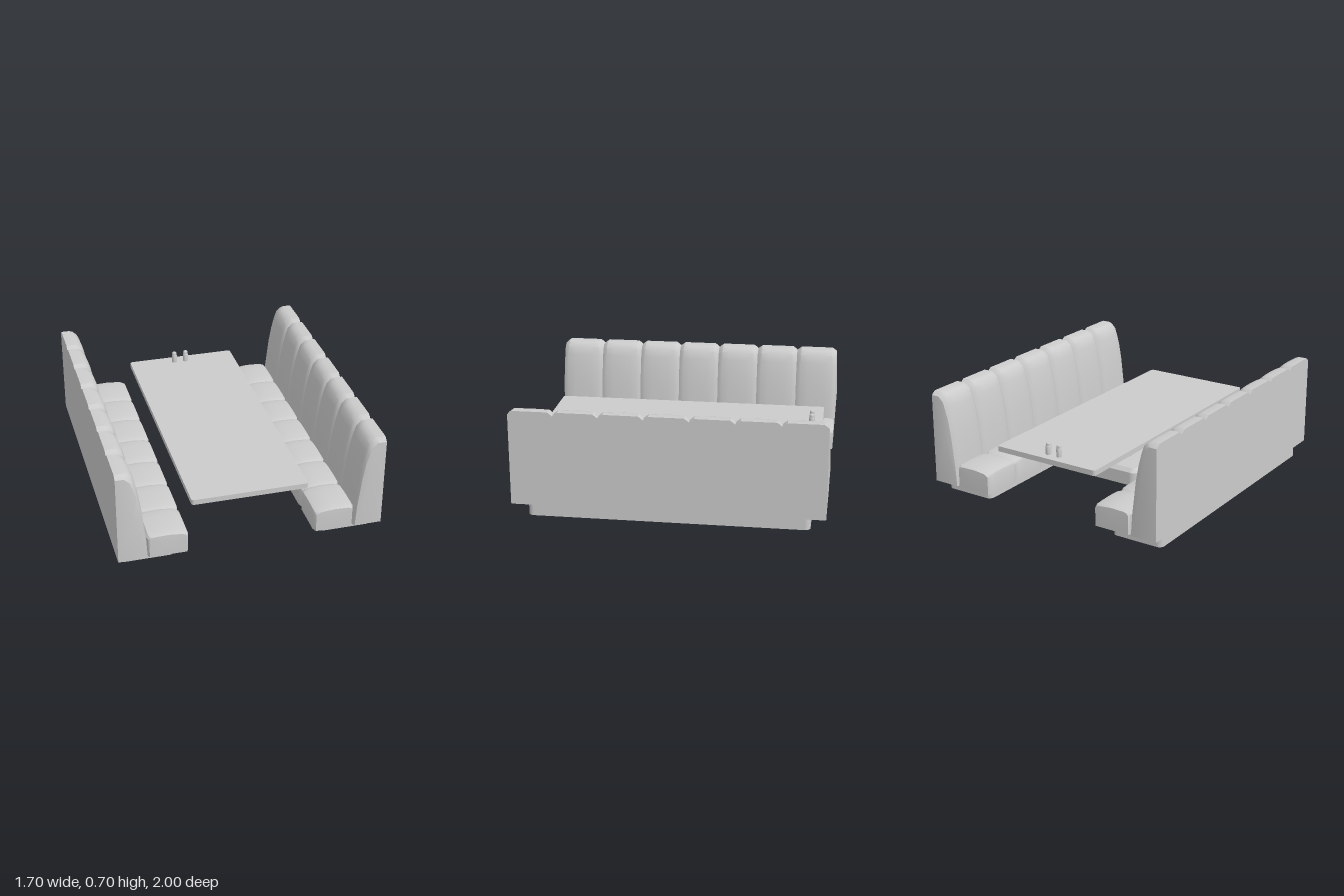
import * as THREE from 'three';
import { toCreasedNormals } from 'three/addons/utils/BufferGeometryUtils.js';

const SEGMENTS = 7;
const grey = new THREE.MeshStandardMaterial({ color: 0xcccccc });
const greyThin = new THREE.MeshStandardMaterial({ color: 0xcccccc, side: THREE.DoubleSide });

function add(parent, name, geometry, material = grey) {
  const mesh = new THREE.Mesh(geometry, material);
  mesh.name = name;
  parent.add(mesh);
  return mesh;
}

// Rounded rectangle centred on (0, 0)
function roundedRect(w, d, r, Type = THREE.Shape) {
  const s = new Type(), x = w / 2, y = d / 2;
  s.moveTo(-x + r, -y);
  s.lineTo(x - r, -y).absarc(x - r, -y + r, r, -Math.PI / 2, 0);
  s.lineTo(x, y - r).absarc(x - r, y - r, r, 0, Math.PI / 2);
  s.lineTo(-x + r, y).absarc(-x + r, y - r, r, Math.PI / 2, Math.PI);
  s.lineTo(-x, -y + r).absarc(-x + r, -y + r, r, Math.PI, Math.PI * 1.5);
  return s;
}

// Extrude a floor-plan shape upward
function slab(shape, y, height, options = {}) {
  const g = new THREE.ExtrudeGeometry(shape, { depth: height, bevelEnabled: false, curveSegments: 5, ...options });
  return g.rotateX(-Math.PI / 2).translate(0, y, 0);
}

// Sweep a profile along z through padded segments; shapePoint pinches it at the seams
function upholstery(profile, z0, z1, bulge, closed, shapePoint) {
  // [position in the segment, sharp seam notch, soft rounding]
  const stations = [[0, 1, 1], [0.05, 0.5, 0.6], [0.11, 0, 0.35], [0.28, 0, 0.1], [0.5, 0, 0],
    [0.72, 0, 0.1], [0.89, 0, 0.35], [0.95, 0.5, 0.6]];
  const rings = [];
  for (let k = 0; k < SEGMENTS; k++) {
    for (const [t, notch, soft] of stations) rings.push([k + t, notch, soft]);
  }
  rings.push([SEGMENTS, 1, 1]);

  const n = profile.length, pos = [], index = [];
  for (const [t, notch, soft] of rings) {
    const z = z0 + (z1 - z0) * t / SEGMENTS;
    for (const [x, y] of profile) pos.push(...shapePoint(x, y, notch, soft), z);
  }
  const sides = closed ? n : n - 1;
  for (let i = 0; i < rings.length - 1; i++) {
    for (let j = 0; j < sides; j++) {
      const a = i * n + j, b = i * n + (j + 1) % n;
      index.push(a, a + n, b, b, a + n, b + n);
    }
  }
  // Slightly bulging end panels
  const cx = profile.reduce((s, p) => s + p[0], 0) / n;
  const ys = profile.map(p => p[1]);
  const cy = (Math.min(...ys) + Math.max(...ys)) / 2;
  const last = (rings.length - 1) * n, c = pos.length / 3;
  pos.push(cx, cy, z0 - bulge, cx, cy, z1 + bulge);
  for (let j = 0; j < n; j++) {
    const k = (j + 1) % n;
    index.push(j, k, c, last + k, last + j, c + 1);
  }
  const g = new THREE.BufferGeometry();
  g.setAttribute('position', new THREE.Float32BufferAttribute(pos, 3));
  g.setIndex(index);
  return toCreasedNormals(g, 0.6);
}

function createBench() {
  const bench = new THREE.Group();

  // Hollow plinth
  const ring = roundedRect(0.355, 1.78, 0.035);
  ring.holes.push(roundedRect(0.335, 1.76, 0.025, THREE.Path));
  add(bench, 'plinth', slab(ring, 0, 0.08), greyThin).position.x = 0.6525;

  // Seat cushions
  const seat = [[0.405, 0.08], [0.405, 0.2], [0.411, 0.218], [0.44, 0.229], [0.53, 0.238],
    [0.62, 0.235], [0.655, 0.23], [0.667, 0.215], [0.667, 0.08]];
  add(bench, 'seatCushions', upholstery(seat, -0.985, 0.988, 0.004, true, (x, y, notch, soft) => [
    x + (x < 0.42 ? 0.012 : x > 0.65 ? -0.014 : 0) * notch,
    y - (y > 0.21 ? 0.012 * soft : 0)
  ]), greyThin);

  // Backrest shell, flat behind and open underneath
  const back = [[0.66, 0.08], [0.669, 0.22], [0.684, 0.42], [0.703, 0.53], [0.72, 0.61],
    [0.738, 0.665], [0.765, 0.69], [0.795, 0.698], [0.85, 0.698], [0.85, 0.08]];
  add(bench, 'backrest', upholstery(back, -0.985, 0.992, 0.012, false, (x, y, notch, soft) => [
    x + (x < 0.78 ? (y < 0.3 ? 0.014 * notch : 0.022 * soft) : 0),
    y - (y > 0.6 ? 0.024 * notch : 0)
  ]), greyThin);
  return bench;
}

function createTable() {
  const table = new THREE.Group();
  table.name = 'table';
  table.position.x = 0.005;
  add(table, 'tableTop', slab(roundedRect(0.75, 1.84, 0.018), 0.37, 0.035));
  add(table, 'tablePost', new THREE.CylinderGeometry(0.04, 0.04, 0.27, 24).translate(0, 0.24, 0));

  // Foot with chamfered upper edge and a round socket underneath
  const foot = roundedRect(0.41, 0.41, 0.05);
  foot.holes.push(new THREE.Path().absarc(0, 0, 0.035, 0, Math.PI * 2, true));
  add(table, 'tableFoot', slab(foot, 0, 0.09), greyThin);
  const rim = slab(roundedRect(0.36, 0.36, 0.025), 0.09, 0.0005, {
    bevelEnabled: true, bevelThickness: 0.025, bevelSize: 0.025, bevelSegments: 1
  });
  // Flatten the lower bevel so only the upper chamfer remains
  const p = rim.attributes.position;
  for (let i = 0; i < p.count; i++) {
    if (p.getY(i) < 0.0902) {
      const k = p.getY(i) < 0.08 ? 0.205 / 0.18 : 1;
      p.setXYZ(i, p.getX(i) * k, 0.09, p.getZ(i) * k);
    }
  }
  rim.computeVertexNormals();
  add(table, 'footChamfer', rim, greyThin);

  // Pair of shakers
  const outline = [[0, 0], [0.018, 0], [0.018, 0.053], [0.0155, 0.057], [0.0155, 0.072], [0.012, 0.077], [0, 0.078]];
  const shaker = toCreasedNormals(new THREE.LatheGeometry(outline.map(q => new THREE.Vector2(...q)), 20), 0.6);
  for (const x of [-0.06, 0.022]) add(table, 'shaker', shaker).position.set(x, 0.405, -0.85);
  return table;
}

export function createModel() {
  const model = new THREE.Group();
  model.name = 'diningBooth';
  const left = createBench(), right = createBench();
  left.name = 'leftBench';
  right.name = 'rightBench';
  right.scale.x = -1;
  model.add(left, right, createTable());
  return model;
}
